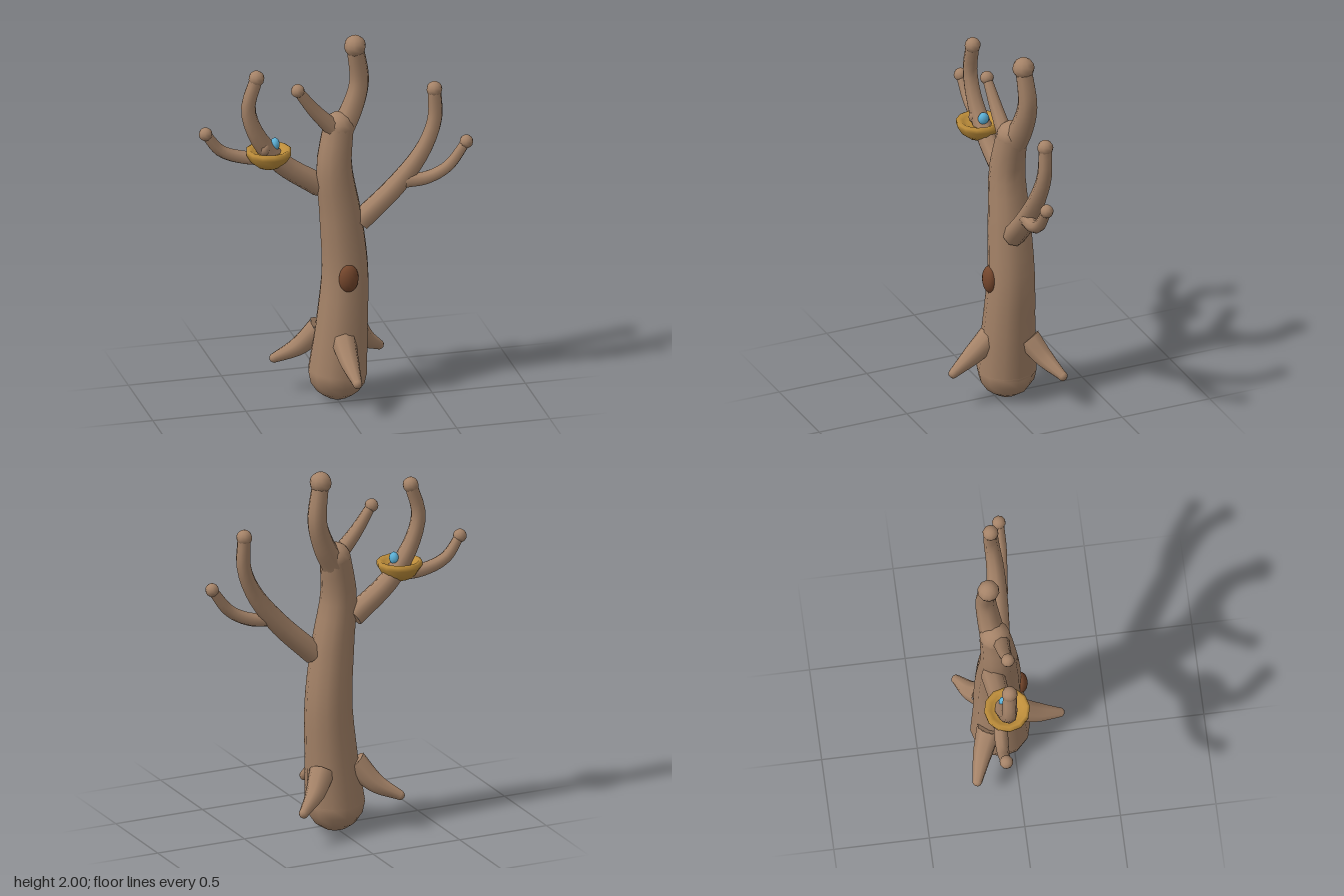
import * as THREE from 'three';

const mat = (name, color) => {
  const m = new THREE.MeshStandardMaterial({ color });
  m.name = name;
  return m;
};

export function createModel() {
  const bark = mat('bark', 0xa58368);
  const hollowBrown = mat('hollow brown', 0x74462c);
  const straw = mat('straw', 0xbd8d3a);
  const eggBlue = mat('egg blue', 0x5cb0d6);

  const model = new THREE.Group();
  model.name = 'tree';

  const add = (parent, name, geometry, material, position = [0, 0, 0], scale = [1, 1, 1]) => {
    const mesh = new THREE.Mesh(geometry, material);
    mesh.name = name;
    mesh.position.set(...position);
    mesh.scale.set(...scale);
    parent.add(mesh);
    return mesh;
  };

  const ball = (parent, name, p, r, material = bark, sides = 10) =>
    add(parent, name, new THREE.SphereGeometry(r, sides, 8), material, p);

  // Tapered limb along a smooth path: flat cap at its start, ball at its tip
  const limb = (name, path, radii, tipRadius, sides = 8) => {
    const group = new THREE.Group();
    group.name = name;
    model.add(group);
    const curve = new THREE.CatmullRomCurve3(path.map((p) => new THREE.Vector3(...p)));
    const steps = 16;
    const geo = new THREE.TubeGeometry(curve, steps, 1, sides, false);
    const pos = geo.attributes.position;
    const v = new THREE.Vector3();
    for (let i = 0; i <= steps; i++) {
      const u = i / steps;
      const centre = curve.getPointAt(u);
      const f = u * (radii.length - 1);
      const k = Math.min(Math.floor(f), radii.length - 2);
      const r = THREE.MathUtils.lerp(radii[k], radii[k + 1], f - k);
      for (let j = 0; j <= sides; j++) {
        const n = i * (sides + 1) + j;
        v.fromBufferAttribute(pos, n).sub(centre).multiplyScalar(r).add(centre);
        pos.setXYZ(n, v.x, v.y, v.z);
      }
    }
    add(group, name + 'Wood', geo, bark);
    const cap = add(group, name + 'Base', new THREE.CircleGeometry(radii[0], sides), bark, path[0]);
    cap.lookAt(curve.getPointAt(0).sub(curve.getTangentAt(0)));
    ball(group, name + 'Tip', path[path.length - 1], tipRadius, bark, sides + 2);
    return group;
  };

  // Trunk with rounded foot and crown
  limb('trunk',
    [[0.01, 0.16, -0.065], [0.035, 0.45, -0.067], [0.05, 0.72, -0.072], [0.025, 1.03, -0.072],
      [-0.007, 1.3, -0.075], [0.02, 1.51, -0.09]],
    [0.157, 0.138, 0.125, 0.115, 0.099, 0.082], 0.082, 12);
  ball(model, 'trunkFoot', [0.01, 0.16, -0.065], 0.157, bark, 12);

  // Main branches
  limb('leader',
    [[0.035, 1.48, -0.1], [0.1, 1.6, -0.115], [0.14, 1.74, -0.125], [0.115, 1.945, -0.113]],
    [0.068, 0.055, 0.045], 0.058);
  limb('rightBranch',
    [[-0.07, 1.18, -0.115], [-0.29, 1.34, -0.095], [-0.42, 1.51, -0.08], [-0.468, 1.67, -0.075],
      [-0.425, 1.835, -0.07]],
    [0.062, 0.055, 0.042, 0.036], 0.042);
  limb('leftBranch',
    [[0.125, 0.985, -0.055], [0.32, 1.175, -0.04], [0.46, 1.36, -0.035], [0.525, 1.52, -0.045],
      [0.525, 1.685, -0.05]],
    [0.06, 0.056, 0.043, 0.036], 0.042);

  // Twigs
  limb('rightTwig',
    [[-0.33, 1.37, -0.1], [-0.46, 1.375, -0.12], [-0.6, 1.425, -0.125], [-0.685, 1.53, -0.12]],
    [0.04, 0.035, 0.026], 0.036);
  limb('leftTwig',
    [[0.36, 1.2, -0.02], [0.47, 1.212, -0.005], [0.58, 1.27, 0.01], [0.68, 1.4, 0.013]],
    [0.04, 0.033, 0.026], 0.036);
  limb('crownTwig',
    [[-0.01, 1.51, -0.065], [-0.115, 1.625, -0.06], [-0.208, 1.75, -0.052]],
    [0.046, 0.036, 0.026], 0.036);

  // Roots
  const rootRadii = [0.068, 0.052, 0.026];
  limb('frontRoot', [[0.015, 0.36, 0.03], [0.02, 0.28, 0.13], [0.033, 0.2, 0.25]], rootRadii, 0.026);
  limb('rightRoot', [[-0.07, 0.38, -0.13], [-0.17, 0.265, -0.18], [-0.29, 0.193, -0.222]], rootRadii, 0.026);
  limb('leftRoot', [[0.12, 0.36, -0.14], [0.19, 0.265, -0.2], [0.283, 0.193, -0.26]], rootRadii, 0.026);

  // Knot on the front of the trunk
  add(model, 'knotHole', new THREE.SphereGeometry(1, 14, 10), hollowBrown,
    [0.04, 0.71, 0.045], [0.053, 0.076, 0.038]);

  // Nest bowl with eggs
  const nestProfile = [[0, -0.05], [0.06, -0.048], [0.095, -0.02], [0.119, 0.02], [0.12, 0.042],
    [0.105, 0.05], [0.085, 0.038], [0.06, 0.022], [0, 0.015]].map((p) => new THREE.Vector2(...p));
  const nest = new THREE.Group();
  nest.name = 'nest';
  nest.position.set(-0.358, 1.385, -0.075);
  model.add(nest);
  add(nest, 'nestBowl', new THREE.LatheGeometry(nestProfile, 12), straw);
  const egg = new THREE.SphereGeometry(1, 10, 8);
  add(nest, 'blueEgg', egg, eggBlue, [0.036, 0.066, -0.01], [0.025, 0.034, 0.03]);
  add(nest, 'brownEgg', egg, bark, [-0.025, 0.055, 0.02], [0.025, 0.034, 0.025]);

  return model;
}
